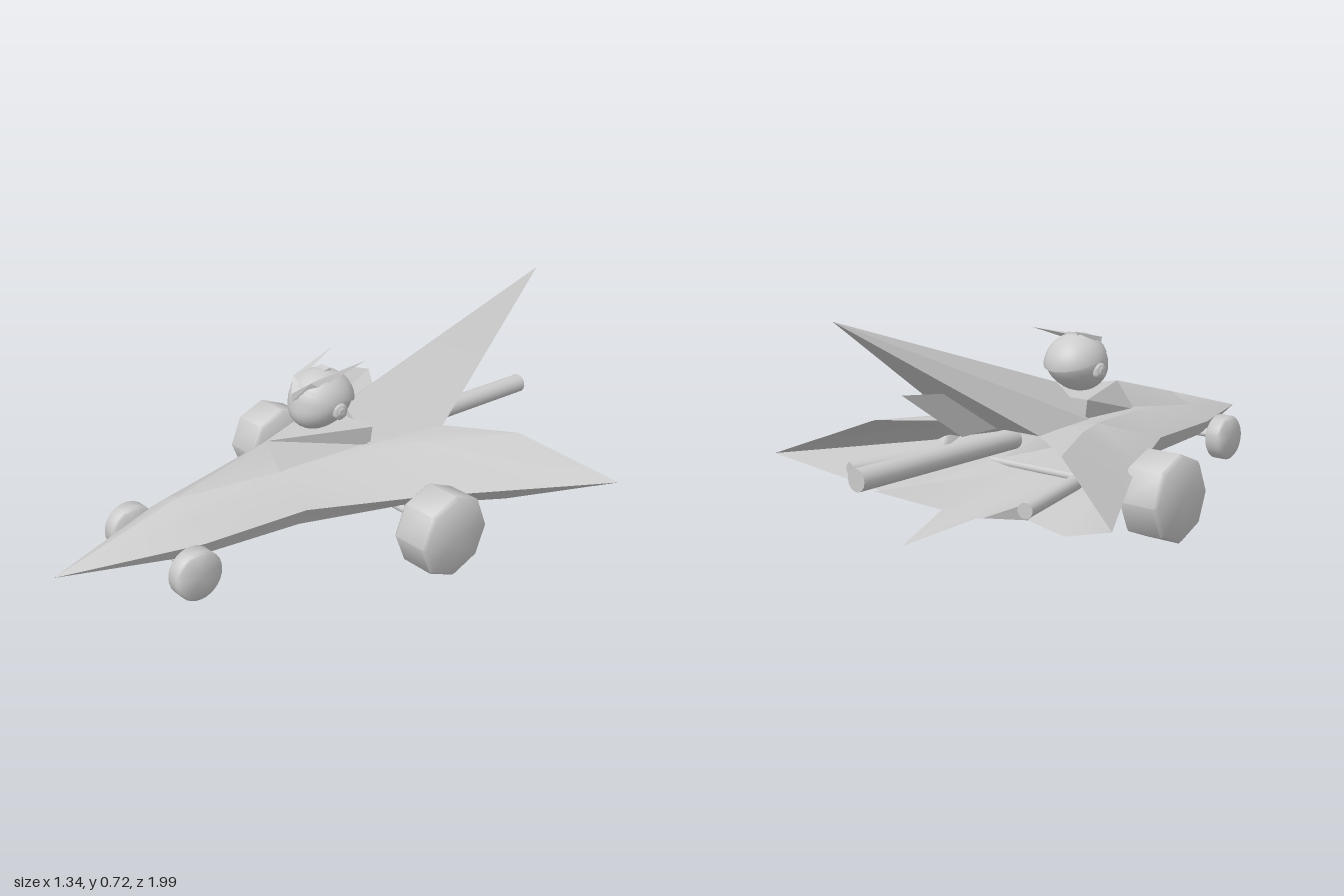
import * as THREE from 'three';
import { toCreasedNormals } from 'three/addons/utils/BufferGeometryUtils.js';

const material = new THREE.MeshStandardMaterial({ color: 0xcccccc, side: THREE.DoubleSide });

function add(parent, name, geometry, x = 0, y = 0, z = 0) {
  const mesh = new THREE.Mesh(geometry, material);
  mesh.name = name;
  mesh.position.set(x, y, z);
  parent.add(mesh);
  return mesh;
}

// Polygons of [x, y, z] corners on the +x side, mirrored to -x
function mirrored(polygons, crease = 0.5) {
  const pos = [];
  const v = (p, s) => new THREE.Vector3(p[0] * s, p[1], p[2]);
  for (const s of [1, -1]) {
    for (const poly of polygons) {
      const pts = poly.map((p) => v(p, s));
      if (s < 0) pts.reverse();
      for (let i = 1; i < pts.length - 1; i++) {
        const tri = new THREE.Triangle(pts[0], pts[i], pts[i + 1]);
        if (tri.getArea() < 1e-7) continue;
        for (const p of [tri.a, tri.b, tri.c]) pos.push(p.x, p.y, p.z);
      }
    }
  }
  const g = new THREE.BufferGeometry();
  g.setAttribute('position', new THREE.Float32BufferAttribute(pos, 3));
  return toCreasedNormals(g, crease);
}

// Cylinder between two points
function rod(parent, name, a, b, radius, sides = 16) {
  const from = new THREE.Vector3(...a), to = new THREE.Vector3(...b);
  const dir = to.clone().sub(from);
  const mesh = add(parent, name, new THREE.CylinderGeometry(radius, radius, dir.length(), sides));
  mesh.position.copy(from).add(to).multiplyScalar(0.5);
  mesh.quaternion.setFromUnitVectors(new THREE.Vector3(0, 1, 0), dir.normalize());
}

// Half sections from the top centre, over the wing edge, to the keel
function hullGeometry() {
  const at = (z, pts) => pts.map(([x, y]) => [x, y, z]);
  const rows = [
    Array.from({ length: 9 }, () => [0, 0.185, 0.99]),
    at(0.57, [[0, 0.3], [0.035, 0.287], [0.08, 0.262], [0.15, 0.21], [0.12, 0.16], [0.09, 0.15], [0.06, 0.15], [0.03, 0.15], [0, 0.15]]),
    at(0.22, [[0, 0.32], [0.06, 0.31], [0.09, 0.3], [0.19, 0.22], [0.15, 0.155], [0.11, 0.145], [0.08, 0.14], [0.04, 0.14], [0, 0.14]]),
    at(-0.1, [[0, 0.33], [0.12, 0.328], [0.17, 0.322], [0.335, 0.215], [0.24, 0.145], [0.17, 0.135], [0.12, 0.135], [0.06, 0.135], [0, 0.135]]),
    at(-0.25, [[0, 0.33], [0.15, 0.33], [0.23, 0.327], [0.41, 0.21], [0.28, 0.125], [0.19, 0.125], [0.14, 0.125], [0.07, 0.122], [0, 0.12]]),
    [[0, 0.33, -0.38], [0.17, 0.33, -0.38], [0.375, 0.33, -0.53], [0.67, 0.21, -0.69], [0.36, 0.09, -0.5],
      [0.2, 0.1, -0.47], [0.22, 0.16, -0.68], [0.07, 0.1, -0.55], [0, 0.06, -0.78]],
  ];
  const faces = [];
  for (let r = 0; r < rows.length - 1; r++) {
    for (let c = 0; c < 8; c++) {
      faces.push([rows[r][c], rows[r][c + 1], rows[r + 1][c + 1], rows[r + 1][c]]);
    }
  }
  return mirrored(faces, 0.55);
}

// Wheel with rounded rims, axis along x
function wheelGeometry(radius, width, sides, bevel) {
  const h = width / 2;
  const profile = [[0, -h], [radius - bevel, -h], [radius, -h + bevel], [radius, h - bevel], [radius - bevel, h], [0, h]]
    .map(([x, y]) => new THREE.Vector2(x, y));
  const g = toCreasedNormals(new THREE.LatheGeometry(profile, sides), 0.9);
  return g.rotateZ(Math.PI / 2);
}

function buildDriver() {
  const driver = new THREE.Group();
  driver.name = 'driver';
  // Head: sphere narrowed at the chin, which juts forward
  const head = new THREE.SphereGeometry(1, 28, 20);
  const p = head.attributes.position;
  for (let i = 0; i < p.count; i++) {
    const low = Math.max(0, -p.getY(i));
    p.setXYZ(i, p.getX(i) * (0.098 - 0.008 * low), p.getY(i) * 0.094, p.getZ(i) * 0.108 + low * 0.025);
  }
  head.computeVertexNormals();
  add(driver, 'head', head, 0, 0.48, 0.01);
  const helmet = add(driver, 'helmet', new THREE.SphereGeometry(1, 28, 10, 0, Math.PI * 2, 0, Math.PI * 0.45), 0, 0.482, 0.005);
  helmet.scale.set(0.101, 0.096, 0.111);
  helmet.rotation.x = -0.3;
  add(driver, 'helmetCrest', new THREE.BoxGeometry(0.045, 0.016, 0.07), 0, 0.568, 0.02).rotation.x = 0.2;
  // Swept brow blades meeting in a V
  add(driver, 'browBlades', mirrored([
    [[0, 0.495, 0.127], [0.06, 0.543, 0.06], [0.045, 0.56, 0.085], [0, 0.522, 0.127]],
    [[0.06, 0.543, 0.06], [0.083, 0.602, -0.11], [0.045, 0.56, 0.085]],
    [[0, 0.522, 0.127], [0.045, 0.56, 0.085], [0.03, 0.56, 0.05], [0, 0.545, 0.09]],
    [[0.045, 0.56, 0.085], [0.083, 0.602, -0.11], [0.03, 0.56, 0.05]],
  ], 0.2));
  for (const s of [-1, 1]) {
    const ear = s < 0 ? 'rightEar' : 'leftEar';
    add(driver, ear + 'Disc', wheelGeometry(0.027, 0.02, 20, 0.004), s * 0.094, 0.462, 0.008);
    add(driver, ear + 'Button', wheelGeometry(0.013, 0.02, 16, 0.003), s * 0.099, 0.462, 0.008);
  }
  return driver;
}

export function createModel() {
  const car = new THREE.Group();
  car.name = 'wingedRaceCar';

  add(car, 'hull', hullGeometry());

  // Raised hood and cockpit surround
  const peak = [0, 0.39, 0.23], rim = [0.13, 0.39, -0.1];
  const foot = [0.072, 0.3, 0.23], rear = [0.12, 0.322, -0.1];
  add(car, 'hood', mirrored([[[0, 0.3, 0.57], [0.08, 0.262, 0.57], foot, peak]]));
  add(car, 'cockpit', mirrored([
    [peak, foot, rear, rim],
    [peak, rim, [0, 0.39, -0.1]],
    [rim, rear, [0, 0.322, -0.1], [0, 0.39, -0.1]],
  ], 0.2));

  // Tall tail fin: a tent drawn out to a rear point
  const tip = [0, 0.72, -1], crest = [0, 0.43, -0.09];
  const front = [0.13, 0.325, -0.09], corner = [0.17, 0.33, -0.38];
  add(car, 'tailFin', mirrored([
    [crest, front, corner, tip],
    [crest, [0, 0.325, -0.09], front],
    [tip, corner, [0, 0.33, -0.38]],
  ], 0.2));

  // Thin plate below the tail fin
  const plate = new THREE.Shape([[0.3, 0.33], [0.53, 0.33], [0.765, 0.49], [0.58, 0.468]].map(([x, y]) => new THREE.Vector2(x, y)));
  add(car, 'lowerTailPlate', new THREE.ShapeGeometry(plate).rotateY(Math.PI / 2));

  // Exhaust pipes
  rod(car, 'centreExhaust', [0, 0.285, -0.3], [0, 0.285, -0.94], 0.033);
  for (const s of [-1, 1]) {
    rod(car, s < 0 ? 'rightExhaust' : 'leftExhaust', [s * 0.275, 0.2, -0.34], [s * 0.352, 0.2, -0.657], 0.023);
  }

  // Axles and wheels
  rod(car, 'rearAxle', [-0.4, 0.14, -0.12], [0.4, 0.14, -0.12], 0.013);
  rod(car, 'frontAxle', [-0.17, 0.148, 0.63], [0.17, 0.148, 0.63], 0.011);
  for (const s of [-1, 1]) {
    const side = s < 0 ? 'Right' : 'Left';
    add(car, 'rear' + side + 'Wheel', wheelGeometry(0.138, 0.14, 8, 0.012), s * 0.435, 0.138, -0.12);
    add(car, 'front' + side + 'Wheel', wheelGeometry(0.079, 0.06, 28, 0.007), s * 0.18, 0.147, 0.63);
  }

  car.add(buildDriver());
  return car;
}
